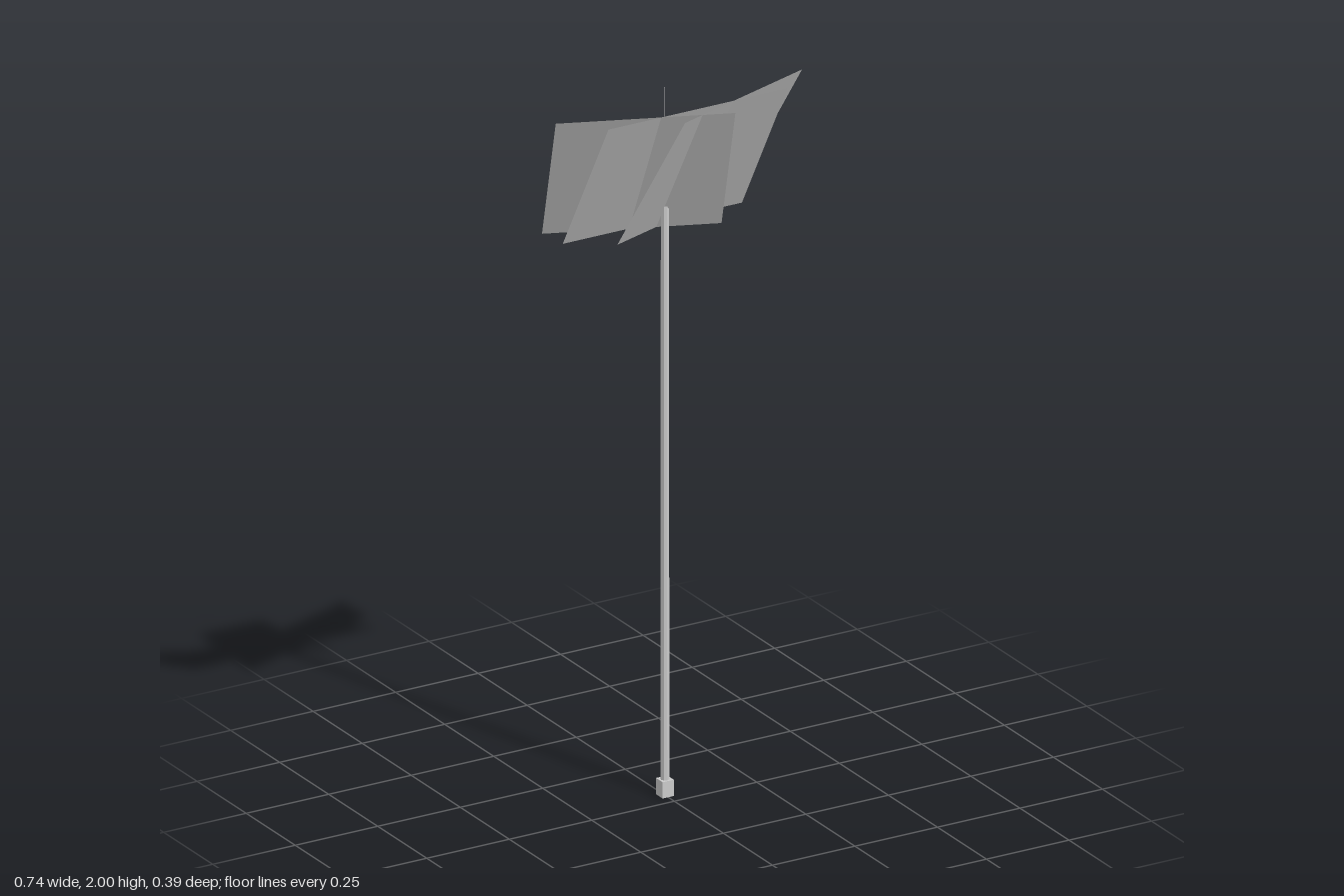
import * as THREE from 'three';

const grey = new THREE.MeshStandardMaterial({ color: 0xcccccc, flatShading: true });
const sheet = new THREE.MeshStandardMaterial({ color: 0xcccccc, side: THREE.DoubleSide });

export function createModel() {
  const group = new THREE.Group();
  const poleZ = -0.048;

  function add(name, geometry, x, y, z, material = grey) {
    const mesh = new THREE.Mesh(geometry, material);
    mesh.name = name;
    mesh.position.set(x, y, z);
    group.add(mesh);
    return mesh;
  }

  // Post: square foot, slim pole and a fine rod on top
  add('foot', new THREE.BoxGeometry(0.034, 0.046, 0.034), 0, 0.023, poleZ);
  add('pole', new THREE.CylinderGeometry(0.011, 0.012, 1.77, 8), 0, 0.925, poleZ);
  add('rod', new THREE.CylinderGeometry(0.001, 0.001, 0.14, 4), 0, 1.93, poleZ);

  // Lamp head: housing and the crossbar under it
  add('housing', new THREE.BoxGeometry(0.187, 0.065, 0.056), 0.001, 1.838, -0.05);
  add('crossbar', new THREE.BoxGeometry(0.16, 0.035, 0.02), 0, 1.79, -0.035);

  // Four small lamps, the outer pair turned outwards
  for (const side of [-1, 1]) {
    add('innerLamp', new THREE.BoxGeometry(0.05, 0.034, 0.02), side * 0.036, 1.82, -0.002).rotation.x = 0.2;
    const outer = add('outerLamp', new THREE.BoxGeometry(0.05, 0.034, 0.02), side * 0.102, 1.82, -0.01);
    outer.rotation.set(0.2, side * 0.35, 0, 'YXZ');
  }

  // Light sheets: flat leaning panels, each given by its top and bottom edge as x, z pairs
  const topY = 2, bottomY = 1.593;
  function panel(name, [x0, z0, x1, z1], [x2, z2, x3, z3]) {
    const geometry = new THREE.BufferGeometry();
    geometry.setAttribute('position', new THREE.Float32BufferAttribute([
      x0, topY, z0, x1, topY, z1, x2, bottomY, z2, x3, bottomY, z3], 3));
    geometry.setIndex([0, 2, 1, 1, 2, 3]);
    geometry.computeVertexNormals();
    add(name, geometry, 0, 0, 0, sheet);
  }
  panel('centreLightSheet', [-0.272, 0.122, 0.271, 0.122], [-0.272, -0.111, 0.271, -0.111]);
  panel('rightLightSheet', [-0.37, 0.018, 0.069, 0.195], [-0.284, -0.197, 0.155, -0.02]);
  panel('leftLightSheet', [-0.078, 0.186, 0.368, 0.032], [-0.153, -0.033, 0.293, -0.187]);

  return group;
}
